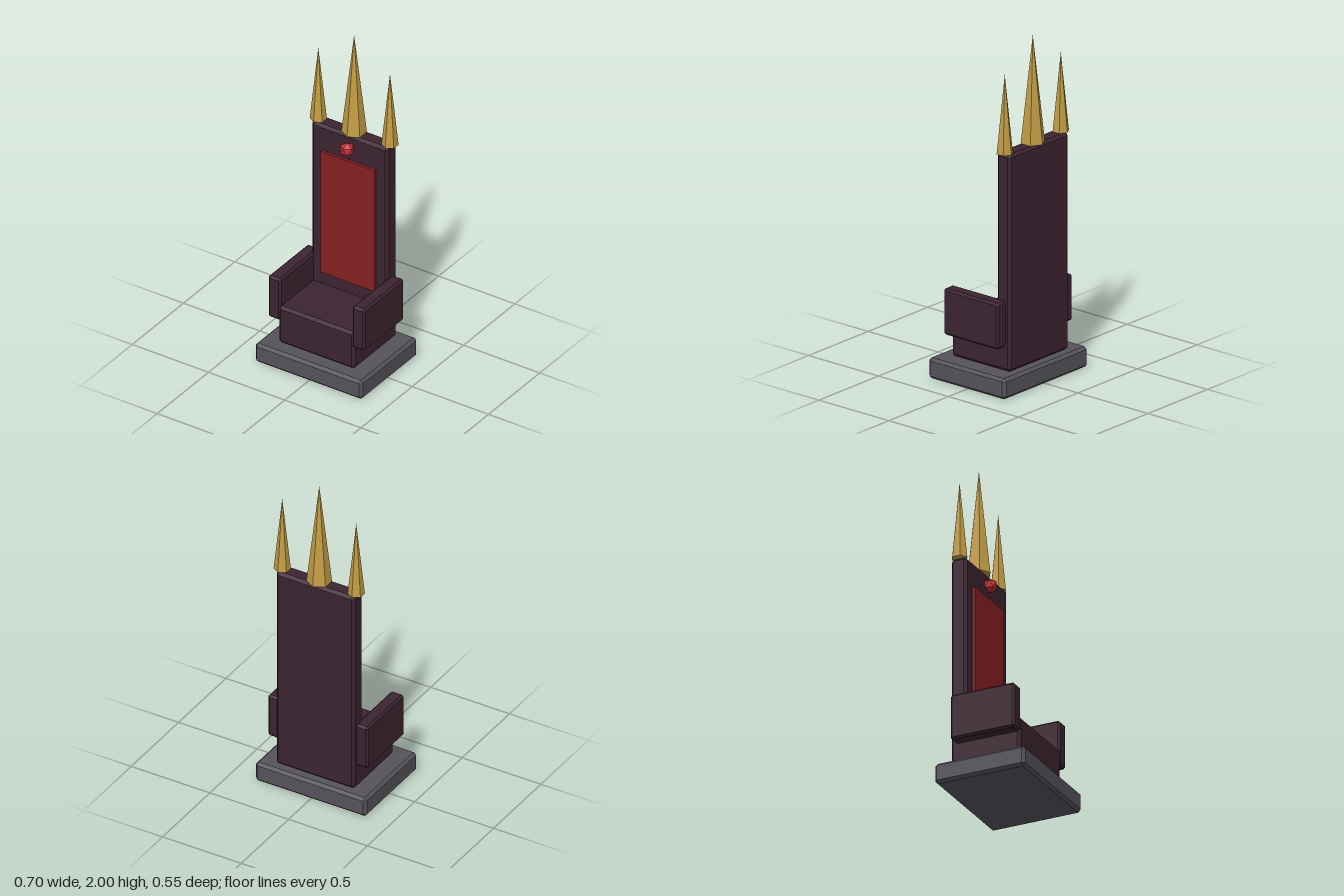
import * as THREE from 'three';
import { ConvexGeometry } from 'three/addons/geometries/ConvexGeometry.js';

const mat = (name, color) => {
  const m = new THREE.MeshStandardMaterial({ color, flatShading: true });
  m.name = name;
  return m;
};

// Box with every edge cut by a single flat chamfer, given by its min and max corners
function chamferBox([x0, y0, z0], [x1, y1, z1], c) {
  const half = [(x1 - x0) / 2, (y1 - y0) / 2, (z1 - z0) / 2];
  const points = [];
  for (const sx of [-1, 1]) for (const sy of [-1, 1]) for (const sz of [-1, 1]) {
    for (let axis = 0; axis < 3; axis++) {
      const p = half.map((h, i) => (i === axis ? h : h - c));
      points.push(new THREE.Vector3(p[0] * sx, p[1] * sy, p[2] * sz));
    }
  }
  return new ConvexGeometry(points).translate((x0 + x1) / 2, (y0 + y1) / 2, (z0 + z1) / 2);
}

export function createModel() {
  const stone = mat('grey stone', 0x55535a);
  const wood = mat('dark plum', 0x3b2430);
  const cloth = mat('deep red', 0x861f21);
  const ruby = mat('bright red', 0xc92f35);
  const gold = mat('gold', 0xc29c44);

  const group = new THREE.Group();
  group.name = 'throne';
  const add = (name, geometry, material) => {
    const mesh = new THREE.Mesh(geometry, material);
    mesh.name = name;
    group.add(mesh);
    return mesh;
  };

  // Plinth, seat block and tall back
  add('base', chamferBox([-0.352, 0, -0.274], [0.352, 0.12, 0.274], 0.016), stone);
  add('seat', chamferBox([-0.25, 0.12, -0.195], [0.25, 0.357, 0.195], 0.016), wood);
  add('backrest', chamferBox([-0.25, 0.12, -0.225], [0.25, 1.378, -0.129], 0.016), wood);

  // Armrests
  add('leftArmrest', chamferBox([0.235, 0.262, -0.195], [0.317, 0.53, 0.195], 0.012), wood);
  add('rightArmrest', chamferBox([-0.317, 0.262, -0.195], [-0.235, 0.53, 0.195], 0.012), wood);

  // Red cloth panel on the back
  add('backPanel', new THREE.BoxGeometry(0.352, 0.782, 0.026).translate(0, 0.829, -0.125), cloth);

  // Gem, turned so that a corner points up
  const gem = add('gem', new THREE.IcosahedronGeometry(0.043, 0), ruby);
  gem.rotation.x = -Math.atan((1 + Math.sqrt(5)) / 2);
  gem.position.set(0, 1.298, -0.109);

  // Three six-sided spikes
  for (const [name, x, radius, height] of [
    ['centreSpike', 0, 0.07, 0.622],
    ['leftSpike', 0.235, 0.047, 0.457],
    ['rightSpike', -0.235, 0.047, 0.457],
  ]) {
    add(name, new THREE.ConeGeometry(radius, height, 6), gold).position.set(x, 1.378 + height / 2, -0.177);
  }

  return group;
}
